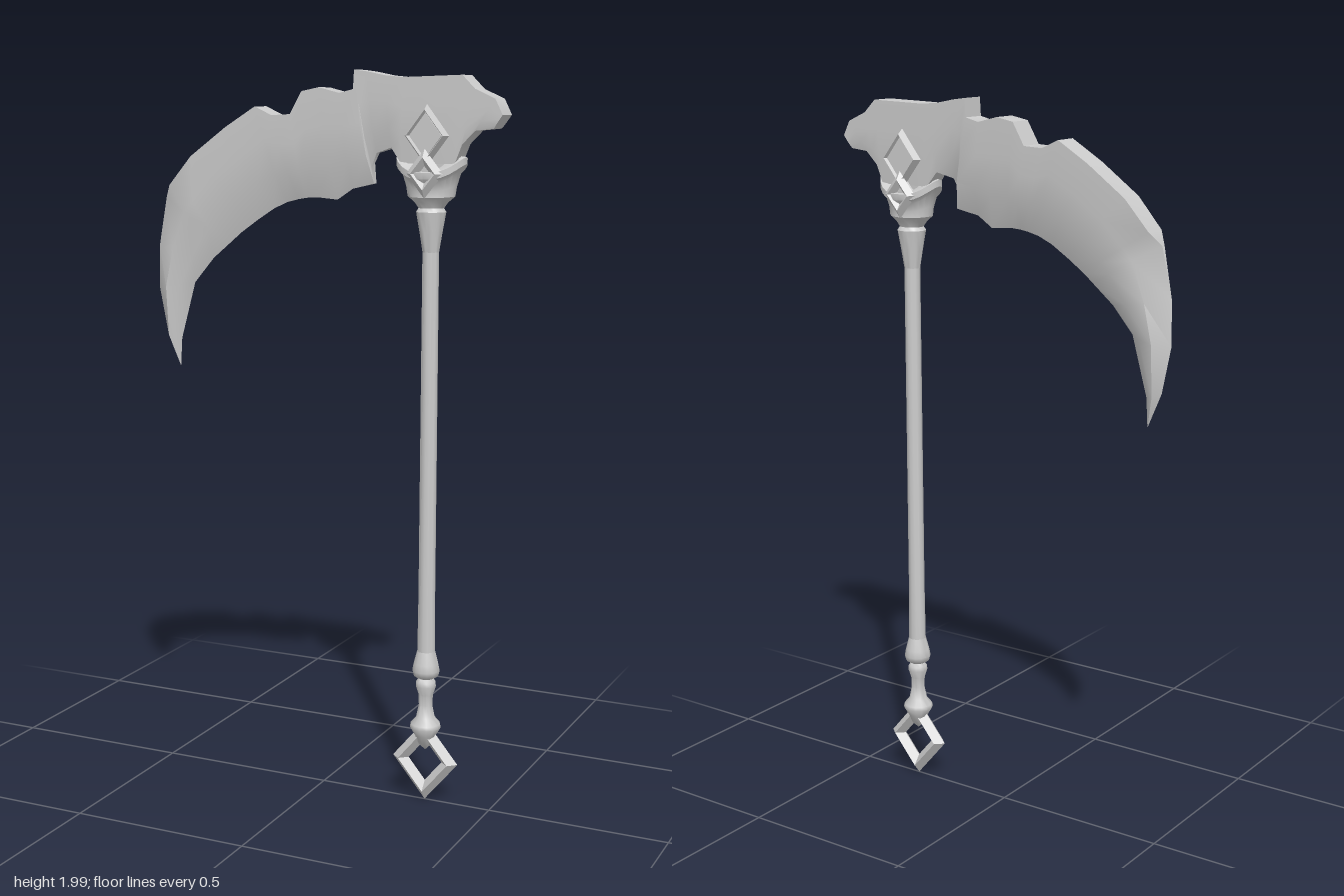
import * as THREE from 'three';
import { toCreasedNormals } from 'three/addons/utils/BufferGeometryUtils.js';

const AXIS = 0.31; // x position of the shaft
const { smoothstep, clamp } = THREE.MathUtils;
const material = new THREE.MeshStandardMaterial({ color: 0xcccccc, side: THREE.DoubleSide });
const flatMaterial = new THREE.MeshStandardMaterial({ color: 0xcccccc, flatShading: true });

function add(parent, name, geometry, mat = material) {
  const mesh = new THREE.Mesh(geometry, mat);
  mesh.name = name;
  parent.add(mesh);
  return mesh;
}

// Turned part around the shaft axis from [radius, y] pairs
function turned(profile, sides) {
  const points = profile.map(([r, y]) => new THREE.Vector2(r, y));
  return toCreasedNormals(new THREE.LatheGeometry(points, sides), 0.9);
}

// Blade sections from tip to poll: x, y on the back, x, y on the cutting edge
const SECTIONS = [
  [-0.45, 1.18, -0.45, 1.18],
  [-0.49, 1.275, -0.445, 1.26],
  [-0.515, 1.4, -0.4, 1.42],
  [-0.513, 1.52, -0.34, 1.49],
  [-0.485, 1.655, -0.28, 1.54],
  [-0.46, 1.69, -0.25, 1.565],
  [-0.39, 1.77, -0.2, 1.6],
  [-0.28, 1.85, -0.15, 1.632],
  [-0.19, 1.905, -0.11, 1.65],
  [-0.14, 1.882, -0.075, 1.659],
  [-0.085, 1.885, -0.05, 1.663],
  [-0.05, 1.945, -0.02, 1.665],
  [0, 1.955, 0.04, 1.66],
  [0.06, 1.94, 0.085, 1.69],
  [0.1, 1.95, 0.15, 1.705],
  [0.103, 2, 0.142, 1.75],
  [0.14, 1.995, 0.158, 1.785],
  [0.19, 1.985, 0.205, 1.8],
  [0.24, 1.98, 0.235, 1.76],
  [0.405, 1.985, 0.385, 1.76],
  [0.44, 1.95, 0.405, 1.81],
  [0.495, 1.925, 0.44, 1.845],
  [0.515, 1.885, 0.49, 1.85],
];

function bladeGeometry() {
  const position = [], index = [], ring = 8;
  for (const [ox, oy, ix, iy] of SECTIONS) {
    // The back is sharp near the tip, the front edge is sharp up to the head
    const back = 0.035 * smoothstep(oy, 1.64, 1.7);
    const mid = 0.035 * Math.sqrt(clamp((iy - 1.18) / 0.17, 0, 1));
    const edge = 0.03 * smoothstep(ix, 0.1, 0.25);
    const half = [[0, back], [0.35, mid], [0.7, (mid * 3 + edge) / 4], [1, edge]];
    const loop = [...half, ...half.map(([u, t]) => [u, -t]).reverse()];
    for (const [u, t] of loop) position.push(ox + (ix - ox) * u, oy + (iy - oy) * u, t);
  }
  const end = (SECTIONS.length - 1) * ring;
  for (let s = 0; s < end; s += ring) {
    for (let k = 0; k < ring; k++) {
      const a = s + k, b = s + (k + 1) % ring;
      index.push(a, b, a + ring, b, b + ring, a + ring);
    }
  }
  for (let k = 1; k < ring - 1; k++) index.push(end, end + k, end + k + 1);
  const geometry = new THREE.BufferGeometry();
  geometry.setAttribute('position', new THREE.Float32BufferAttribute(position, 3));
  geometry.setIndex(index);
  return toCreasedNormals(geometry, 0.75);
}

// Four-sided bevelled frame standing on a corner
function diamondFrame(halfWidth, halfHeight, width, depth) {
  const geometry = new THREE.TorusGeometry(halfWidth - width / 2, width / 2, 4, 4);
  return geometry.scale(1, halfHeight / halfWidth, depth / (width / 2));
}

// Bevelled diamond plate facing +z
function diamondPlate(halfWidth, halfHeight, depth) {
  const geometry = new THREE.CylinderGeometry(0.8, 1, depth, 4);
  return geometry.rotateX(Math.PI / 2).scale(halfWidth, halfHeight, 1);
}

// Cup under the head, its rim pulled up into a horn on each side
function cupGeometry() {
  const geometry = turned([
    [0.022, 1.53], [0.03, 1.58], [0.04, 1.635], [0.034, 1.645], [0.045, 1.66], [0.064, 1.675],
    [0.068, 1.7], [0.078, 1.735], [0.092, 1.75], [0.092, 1.768], [0.06, 1.772], [0, 1.76],
  ], 24);
  const p = geometry.attributes.position;
  for (let i = 0; i < p.count; i++) {
    const x = p.getX(i), y = p.getY(i), z = p.getZ(i);
    const side = Math.abs(x) / (Math.hypot(x, z) || 1);
    const top = smoothstep(y, 1.66, 1.76);
    const squash = 1 - 0.33 * smoothstep(y, 1.62, 1.7);
    p.setXYZ(i, x * (1 + 0.06 * top * side ** 4), y + top * (0.04 * side ** 3 - 0.03), z * squash);
  }
  return toCreasedNormals(geometry, 0.7);
}

export function createModel() {
  const model = new THREE.Group();
  model.name = 'scythe';

  add(model, 'blade', bladeGeometry());

  const staff = new THREE.Group();
  staff.name = 'staff';
  staff.position.x = AXIS;
  model.add(staff);

  // Shaft with turned knobs and a pointed end
  add(staff, 'shaft', turned([[0.025, 0.4], [0.023, 0.6], [0.022, 1.7]], 12));
  add(staff, 'lowerKnobs', turned([
    [0, 0.155], [0.018, 0.172], [0.03, 0.2], [0.043, 0.222], [0.041, 0.232], [0.026, 0.25], [0.019, 0.285],
    [0.02, 0.315], [0.028, 0.34], [0.027, 0.352], [0.02, 0.362], [0.034, 0.37], [0.038, 0.385],
    [0.034, 0.405], [0.025, 0.44],
  ], 14));
  add(staff, 'pommelRing', diamondFrame(0.096, 0.115, 0.047, 0.022), flatMaterial).position.y = 0.125;

  // Head collar
  add(staff, 'cup', cupGeometry());

  // Diamond ornaments on front and back
  for (const side of [1, -1]) {
    const ornament = new THREE.Group();
    ornament.name = side > 0 ? 'frontOrnament' : 'backOrnament';
    ornament.rotation.y = side > 0 ? 0 : Math.PI;
    staff.add(ornament);
    add(ornament, 'upperFrame', diamondFrame(0.062, 0.08, 0.022, 0.018), flatMaterial).position.set(0, 1.832, 0.037);
    add(ornament, 'upperPlate', diamondPlate(0.056, 0.073, 0.03), flatMaterial).position.set(0, 1.832, 0.033);
    add(ornament, 'lowerFrame', diamondFrame(0.052, 0.064, 0.036, 0.015), flatMaterial).position.set(0, 1.735, 0.05);
    add(ornament, 'lowerPlate', diamondPlate(0.04, 0.05, 0.02), flatMaterial).position.set(0, 1.735, 0.04);
  }
  return model;
}
